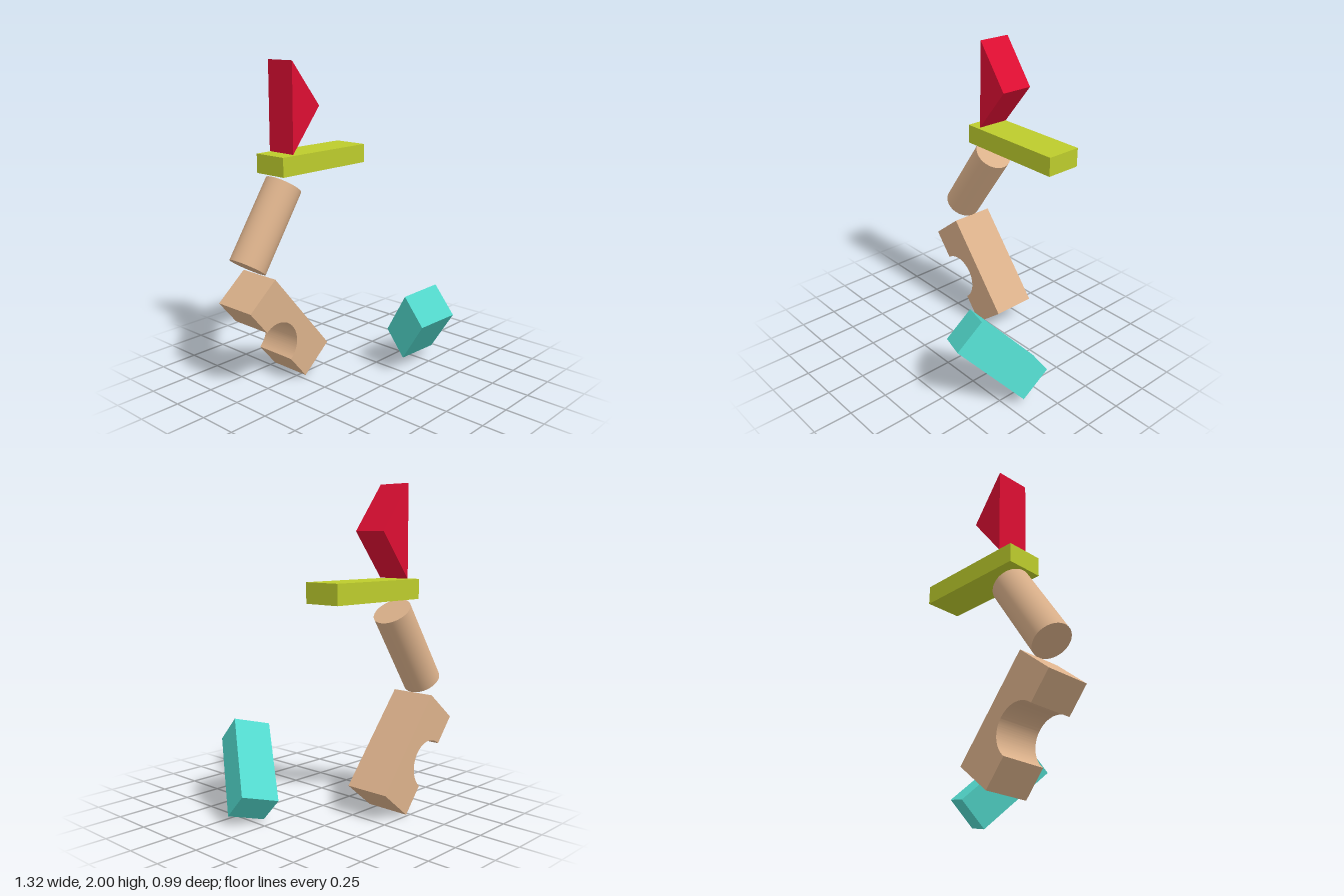
import * as THREE from 'three';
import { toCreasedNormals } from 'three/addons/utils/BufferGeometryUtils.js';

const material = (name, color) => {
  const m = new THREE.MeshStandardMaterial({ color });
  m.name = name;
  return m;
};

export function createModel() {
  const group = new THREE.Group();
  const wood = material('wood', 0xdab08a);
  const lime = material('lime', 0xbccb2c);
  const red = material('red', 0xdc0e32);
  const teal = material('teal', 0x52d8cc);

  const add = (name, geometry, mat, x, y, z) => {
    const mesh = new THREE.Mesh(geometry, mat);
    mesh.name = name;
    mesh.position.set(x, y, z);
    group.add(mesh);
    return mesh;
  };

  // Extrudes a shape centred on its depth
  const prism = (shape, depth) => {
    const g = new THREE.ExtrudeGeometry(shape, { depth, bevelEnabled: false, curveSegments: 40 });
    return toCreasedNormals(g.translate(0, 0, -depth / 2), 0.5);
  };

  // Bridge block with a half-round cutout, tipped onto one corner
  const arch = new THREE.Shape();
  arch.moveTo(0.35, 0);
  arch.lineTo(0.35, 0.263);
  arch.lineTo(-0.35, 0.263);
  arch.lineTo(-0.35, 0);
  arch.lineTo(-0.152, 0);
  arch.absarc(0, 0, 0.152, Math.PI, 0, true);
  arch.closePath();
  add('archBlock', prism(arch, 0.291), wood, -0.437, 0.28, -0.35).rotation.z = -0.883;

  // Leaning cylinder
  const column = new THREE.CylinderGeometry(0.118, 0.118, 0.555, 64);
  add('cylinderBlock', column, wood, -0.393, 1.015, -0.348).rotation.z = -0.593;

  // Flat plank
  add('plankBlock', new THREE.BoxGeometry(0.724, 0.12, 0.234), lime, 0.016, 1.38, -0.348);

  // Triangular block standing on its tip
  const triangle = new THREE.Shape([
    new THREE.Vector2(-0.107, 0.278),
    new THREE.Vector2(-0.111, -0.278),
    new THREE.Vector2(0.109, 0),
  ]);
  add('triangleBlock', prism(triangle, 0.214), red, -0.137, 1.722, -0.347).rotation.y = -0.03;

  // Square block tumbling beside the stack
  const across = new THREE.Vector3(0.205, 0.05, 0.085).normalize();
  const along = new THREE.Vector3(-0.228, 0.372, 0.325).normalize();
  const up = along.clone().cross(across).normalize();
  across.crossVectors(up, along);
  add('tumblingBlock', new THREE.BoxGeometry(0.228, 0.228, 0.544), teal, 0.429, 0.295, 0.212)
    .quaternion.setFromRotationMatrix(new THREE.Matrix4().makeBasis(across, up, along));

  return group;
}
